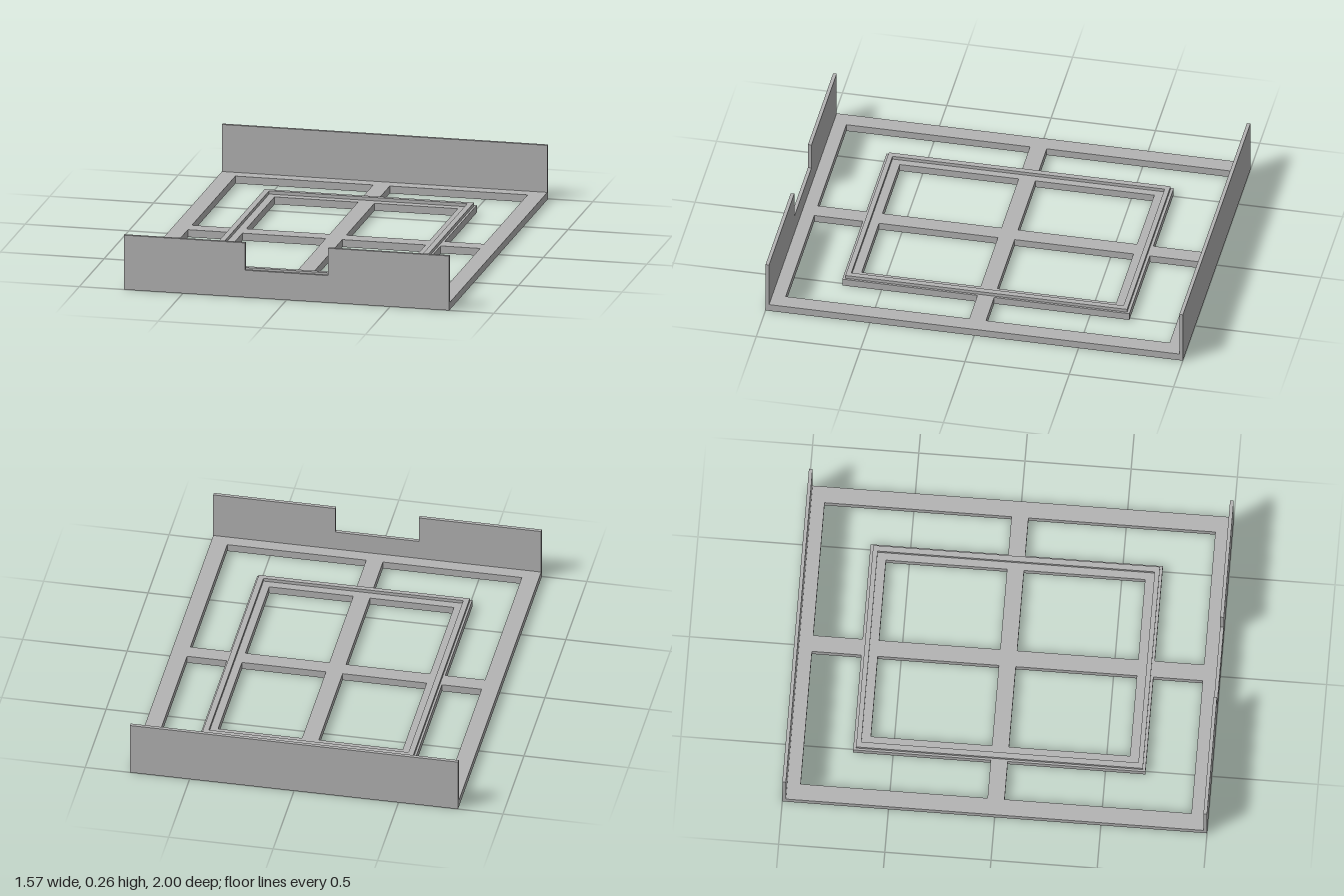
import * as THREE from 'three';

const BASE_H = 0.036, LIP_TOP = 0.052, PANEL_TOP = 0.265;
const X = 0.785, Z = 1, PANEL_T = 0.017;

const points = (list) => list.map(([x, y]) => new THREE.Vector2(x, y));
const rect = (x, z) => points([[-x, -z], [x, -z], [x, z], [-x, z]]);

export function createModel() {
  const group = new THREE.Group();
  const grey = new THREE.MeshStandardMaterial({ color: 0xb4b4b4 });
  grey.name = 'grey';

  const add = (name, geometry) => {
    const mesh = new THREE.Mesh(geometry, grey);
    mesh.name = name;
    group.add(mesh);
    return mesh;
  };
  const extrude = (outline, holes, depth) => {
    const shape = new THREE.Shape(outline);
    holes.forEach((h) => shape.holes.push(new THREE.Path(h)));
    return new THREE.ExtrudeGeometry(shape, { depth, bevelEnabled: false });
  };

  // Flat base: outer frame, crossed bars and inner frame, open in between.
  // Each quarter has one L-shaped opening and one rectangular opening.
  const b = 0.04, ox = 0.705, oz = 0.92, ix = 0.515, iz = 0.688, hx = 0.442, hz = 0.61;
  const corner = [[ix, b], [ox, b], [ox, oz], [b, oz], [b, iz], [ix, iz]];
  const pane = [[b, b], [hx, b], [hx, hz], [b, hz]];
  const holes = [];
  for (const sx of [-1, 1]) for (const sz of [-1, 1]) {
    for (const opening of [corner, pane]) {
      holes.push(points(opening.map(([x, z]) => [x * sx, z * sz])));
    }
  }
  add('baseFrame', extrude(rect(X, Z), holes, BASE_H).rotateX(-Math.PI / 2));

  // Thin raised rim on the inner frame
  const rim = extrude(rect(0.505, 0.675), [rect(0.478, 0.652)], LIP_TOP - BASE_H);
  add('innerRim', rim.rotateX(-Math.PI / 2)).position.y = BASE_H;

  // Plain back panel and notched front panel
  const back = extrude(points([[-X, BASE_H], [X, BASE_H], [X, PANEL_TOP], [-X, PANEL_TOP]]), [], PANEL_T);
  add('backPanel', back).position.z = -Z;

  const n = 0.2, notchY = 0.132;
  const front = extrude(points([
    [-X, BASE_H], [X, BASE_H], [X, PANEL_TOP], [n, PANEL_TOP],
    [n, notchY], [-n, notchY], [-n, PANEL_TOP], [-X, PANEL_TOP],
  ]), [], PANEL_T);
  add('frontPanel', front).position.z = Z - PANEL_T;

  return group;
}
